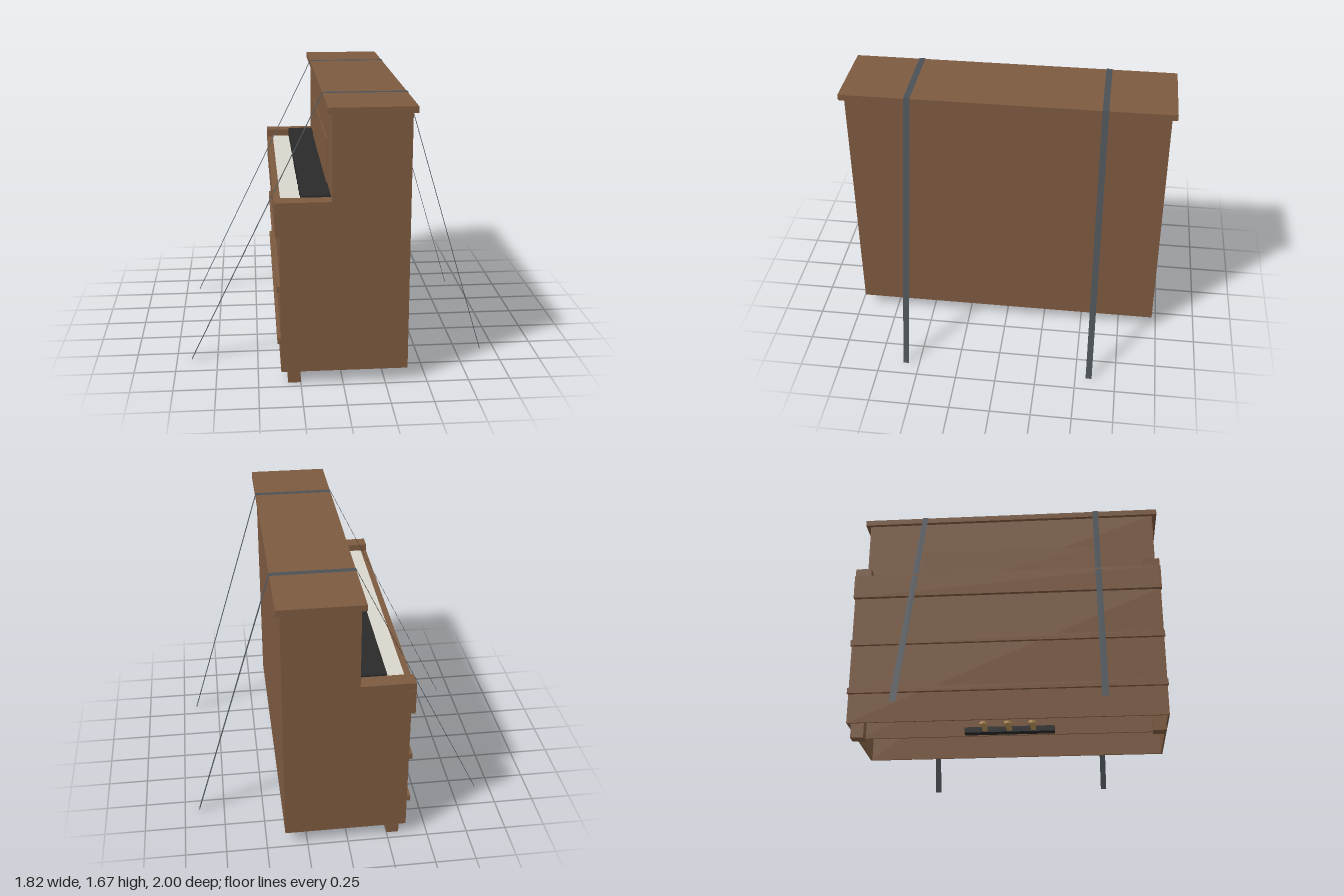
import * as THREE from 'three';

const mat = (color, side = THREE.FrontSide) => new THREE.MeshStandardMaterial({ color, side, flatShading: true });

export function createModel() {
  const root = new THREE.Group();
  const wood = mat(0x7d5a40), black = mat(0x2a2a2a), ivory = mat(0xd8d5cc), brass = mat(0xb9935a);
  const strapMat = mat(0x4a5055, THREE.DoubleSide);

  // Box given by its min and max on each axis
  const box = (name, x0, x1, y0, y1, z0, z1, m = wood, parent = root) => {
    const mesh = new THREE.Mesh(new THREE.BoxGeometry(x1 - x0, y1 - y0, z1 - z0), m);
    mesh.position.set((x0 + x1) / 2, (y0 + y1) / 2, (z0 + z1) / 2);
    mesh.name = name;
    parent.add(mesh);
    return mesh;
  };

  // Stepped side walls, with arm, cheek block and leg on each end
  const profile = new THREE.Shape([
    [-0.365, 0.08], [0.385, 0.08], [0.385, 1.63], [-0.065, 1.63],
    [-0.065, 1.12], [-0.39, 1.12], [-0.39, 0.915], [-0.365, 0.915],
  ].map(([x, y]) => new THREE.Vector2(x, y)));
  for (const s of [1, -1]) {
    const wall = new THREE.Mesh(new THREE.ExtrudeGeometry(profile, { depth: 0.01, bevelEnabled: false }), wood);
    wall.position.z = s > 0 ? 0.96 : -0.97;
    wall.name = 'sideWall';
    root.add(wall);
    const span = (a, b) => (s > 0 ? [a, b] : [-b, -a]);
    box('cheekBlock', -0.389, -0.065, 0.92, 1.12, ...span(0.87, 0.965));
    box('leg', -0.325, -0.25, 0, 0.92, ...span(0.87, 0.95));
  }

  // Hollow case, open at the bottom
  box('backPanel', 0.375, 0.385, 0.08, 1.63, -0.965, 0.965);
  box('upperFrontPanel', -0.065, -0.055, 0.92, 1.63, -0.965, 0.965);
  box('kneeBoard', -0.065, -0.055, 0.08, 0.92, -0.965, 0.965);
  box('lowerFrontPanel', -0.365, -0.355, 0.08, 0.92, -0.965, 0.965);
  box('keyBed', -0.385, -0.06, 0.915, 0.96, -0.965, 0.965);
  box('keySlip', -0.39, -0.35, 0.915, 1.07, -0.975, 0.975);
  for (const y of [0.265, 0.585]) box('moulding', -0.385, -0.365, y, y + 0.035, -0.975, 0.975);
  box('lid', -0.09, 0.41, 1.628, 1.665, -1, 1);
  box('musicDesk', -0.07, -0.064, 1.12, 1.4, -0.6, 0.6);

  // Keyboard
  const keyboard = new THREE.Group();
  keyboard.name = 'keyboard';
  root.add(keyboard);
  box('whiteKeys', -0.35, -0.065, 0.96, 1.075, -0.87, 0.87, ivory, keyboard);
  box('fallboard', -0.235, -0.065, 1.112, 1.13, -0.87, 0.87, black, keyboard);
  const pitch = 1.74 / 52;
  for (let i = 0; i < 51; i++) {
    if ([1, 4].includes(i % 7)) continue;
    const z = -0.87 + pitch * (i + 1);
    box('blackKey', -0.235, -0.07, 1.07, 1.113, z - 0.01, z + 0.01, black, keyboard);
  }

  // Pedals in front of the knee board, with pivot pins behind it
  box('pedalRail', -0.12, -0.065, 0.085, 0.12, -0.28, 0.28, black);
  for (const z of [-0.15, 0, 0.15]) {
    box('pedal', -0.24, -0.1, 0.09, 0.105, z - 0.015, z + 0.015, brass);
    const toe = new THREE.Mesh(new THREE.CylinderGeometry(0.025, 0.025, 0.016, 12), brass);
    toe.position.set(-0.24, 0.0975, z);
    toe.name = 'pedalToe';
    root.add(toe);
    box('pedalPin', -0.056, -0.035, 0.09, 0.105, z - 0.01, z + 0.01, brass);
  }

  // Flat straps over the lid, running down to the ground on both sides
  const path = [[-0.91, 0], [-0.09, 1.67], [0.41, 1.67], [0.91, 0]];
  for (const zc of [-0.585, 0.585]) {
    const strap = new THREE.Group();
    strap.name = 'strap';
    for (let i = 0; i < 3; i++) {
      const [x0, y0] = path[i], [x1, y1] = path[i + 1];
      const geo = new THREE.PlaneGeometry(Math.hypot(x1 - x0, y1 - y0), 0.038).rotateX(-Math.PI / 2);
      const piece = new THREE.Mesh(geo, strapMat);
      piece.position.set((x0 + x1) / 2, (y0 + y1) / 2, zc);
      piece.rotation.z = Math.atan2(y1 - y0, x1 - x0);
      piece.name = 'strapSection';
      strap.add(piece);
    }
    root.add(strap);
  }
  return root;
}
